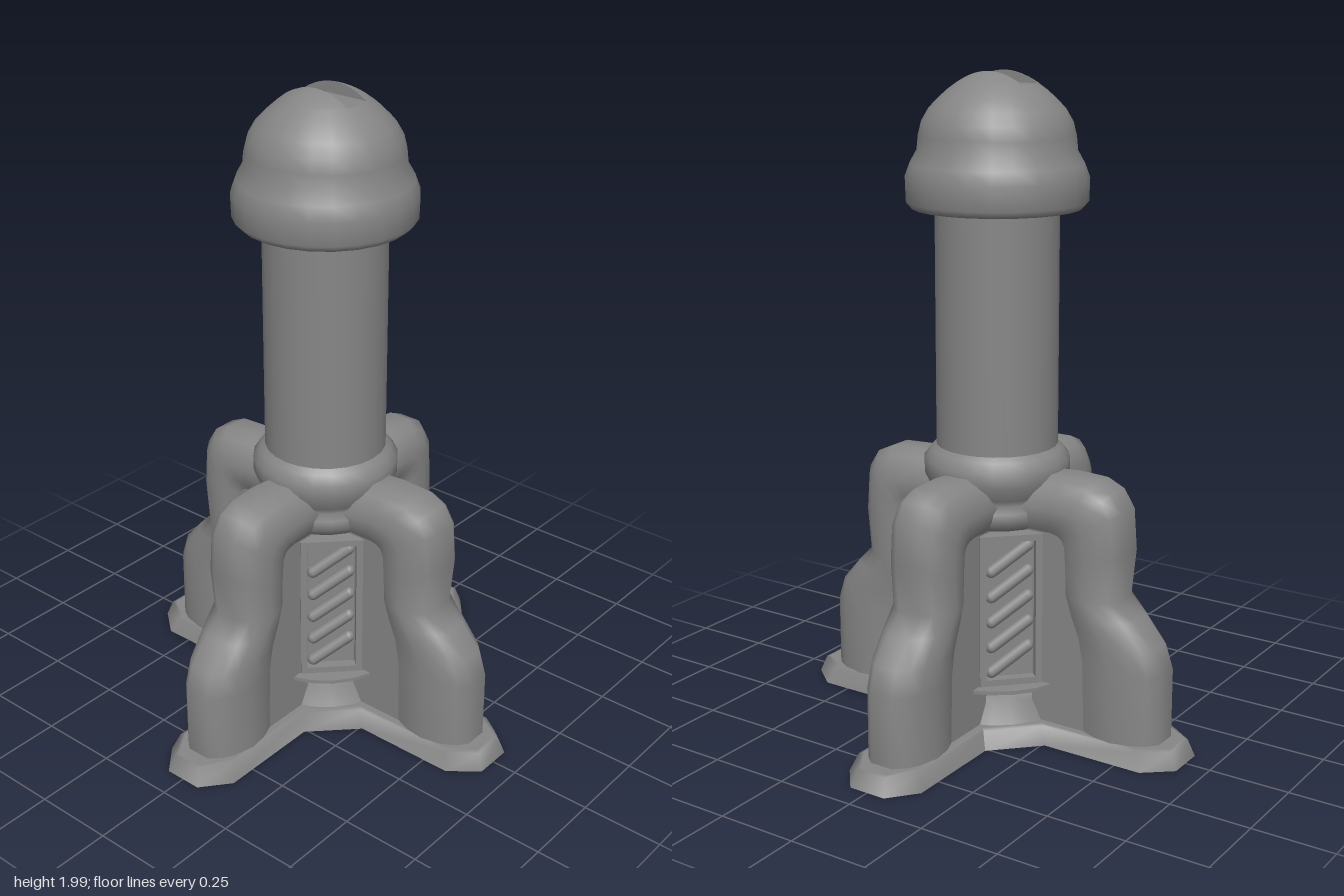
import * as THREE from 'three';
import { ParametricGeometry } from 'three/addons/geometries/ParametricGeometry.js';

const material = new THREE.MeshStandardMaterial({ color: 0x868686, side: THREE.DoubleSide });
const V = (x, y) => new THREE.Vector2(x, y);

function add(parent, name, geometry) {
  const mesh = new THREE.Mesh(geometry, material);
  mesh.name = name;
  parent.add(mesh);
  return mesh;
}

const lathe = (parent, name, profile) =>
  add(parent, name, new THREE.LatheGeometry(profile.map(p => V(...p)), 24));

// Smooth surface through equal-length loops of points
function loft(loops) {
  const n = loops[0].length, index = [];
  for (let i = 0; i < loops.length - 1; i++)
    for (let j = 0; j < n - 1; j++) {
      const a = i * n + j, b = a + n;
      index.push(a, b, a + 1, a + 1, b, b + 1);
    }
  const g = new THREE.BufferGeometry();
  g.setAttribute('position', new THREE.Float32BufferAttribute(loops.flat(2), 3));
  g.setIndex(index);
  g.computeVertexNormals();
  return g;
}

// Leg cross-section: rounded, with a small flat outer face, pinched in at the wall
const HALF = 0.105, WALL = 0.08;
const ARC = [[0, WALL / HALF], [0.2, 0.94], [0.45, 1], [0.72, 0.87], [0.88, 0.66], [1, 0.36]];
const SECTION = [...ARC.map(([c, s]) => [c, -s]), ...ARC.toReversed()];

// Stations along the leg: outer r, outer y, inner r, inner y
const LEG = [
  [0.15, 0.82, 0.15, 0.66], [0.27, 0.83, 0.24, 0.66], [0.37, 0.825, 0.265, 0.655],
  [0.425, 0.8, 0.28, 0.645], [0.46, 0.745, 0.29, 0.625], [0.47, 0.62, 0.295, 0.56],
  [0.455, 0.475, 0.298, 0.475], [0.51, 0.42, 0.315, 0.42], [0.575, 0.345, 0.345, 0.345],
  [0.6, 0.27, 0.358, 0.27], [0.6, 0.05, 0.365, 0.05],
];

function makeLeg() {
  const leg = new THREE.Group();
  const loops = LEG.map(([pr, py, qr, qy]) =>
    SECTION.map(([c, s]) => [qr + (pr - qr) * c, qy + (py - qy) * c, s * HALF]));
  add(leg, 'legPipe', loft(loops));
  // Flat recessed walls joining the pipe to the core
  const wall = new THREE.Shape([V(0.12, 0.05), V(0.12, 0.66), ...LEG.map(s => V(s[2], s[3]))]);
  for (const side of [-1, 1]) {
    const g = new THREE.ShapeGeometry(wall);
    if (side < 0) g.rotateY(Math.PI).scale(-1, 1, 1);
    add(leg, 'legWall', g).position.z = side * WALL;
  }
  return leg;
}

// Outline of the cross-shaped base, pulled in by an inset
function baseOutline(e) {
  const arm = [[0.26 - e, -0.13 + e], [0.585 - e, -0.13 + e], [0.67 - e, -0.06 + e / 2],
    [0.67 - e, 0.06 - e / 2], [0.585 - e, 0.13 - e], [0.26 - e, 0.13 - e]];
  return [0, 1, 2, 3].flatMap(k =>
    arm.map(([x, y]) => V(x, y).rotateAround(V(0, 0), k * Math.PI / 2)));
}

function makeBase() {
  const base = new THREE.Group();
  const ring = (inset, y) => {
    const pts = baseOutline(inset);
    return [...pts, pts[0]].map(p => [p.x, y, p.y]);
  };
  add(base, 'baseSkirt', loft([ring(0.03, 0.055), ring(0.02, 0.052), ring(0, 0)].reverse()));
  // Top plate, open under the hollow legs and in the middle
  const plate = new THREE.Shape(baseOutline(0.03));
  plate.holes.push(new THREE.Path().absarc(0, 0, 0.14, 0, Math.PI * 2, true));
  for (let k = 0; k < 4; k++) {
    const pts = [V(0.22, -0.075), ...SECTION.map(([c, s]) => V(0.365 + 0.23 * c, s * 0.097)), V(0.22, 0.075)];
    plate.holes.push(new THREE.Path(pts.map(p => p.rotateAround(V(0, 0), k * Math.PI / 2))));
  }
  add(base, 'basePlate', new THREE.ShapeGeometry(plate).rotateX(-Math.PI / 2)).position.y = 0.055;
  lathe(base, 'baseSocket', [[0.14, 0.03], [0.14, 0.12]]);
  lathe(base, 'socketRoof', [[0.14, 0.12], [0, 0.12]]);
  return base;
}

// Framed window with slanted ribs, facing +z
function makePanel() {
  const panel = new THREE.Group();
  const rect = (w, y0, y1) => [V(-w, y0), V(w, y0), V(w, y1), V(-w, y1)];
  const frame = new THREE.Shape(rect(0.095, 0.18, 0.655));
  frame.holes.push(new THREE.Path(rect(0.075, 0.2, 0.635)));
  add(panel, 'panelFrame', new THREE.ExtrudeGeometry(frame, { depth: 0.035, bevelEnabled: false }))
    .position.z = 0.181;
  add(panel, 'panelBack', new THREE.BoxGeometry(0.19, 0.475, 0.02)).position.set(0, 0.4175, 0.175);
  for (let i = 0; i < 5; i++) {
    const rib = add(panel, 'panelRib', new THREE.CapsuleGeometry(0.019, 0.135, 4, 8));
    rib.position.set(0, 0.257 + i * 0.08, 0.193);
    rib.rotation.z = -0.95;
  }
  return panel;
}

// Cap with a slot cut across its crown
function makeCap() {
  const cap = new THREE.Group();
  const R = 0.12, W = 0.043, dome = r => 2 - 2.8 * r * r, floor = dome(R);
  const profile = [[0.18, 1.602], [0.252, 1.6], [0.27, 1.62], [0.272, 1.69], [0.257, 1.73],
    [0.236, 1.768], [0.232, 1.81], [0.222, 1.85]];
  for (const r of [0.2, 0.17, 0.145, R]) profile.push([r, dome(r)]);
  lathe(cap, 'capDome', profile);
  add(cap, 'slotFloor', new THREE.CircleGeometry(R, 24).rotateX(-Math.PI / 2)).position.y = floor;
  for (const side of [-1, 1]) {
    add(cap, 'crown', new ParametricGeometry((u, v, t) => {
      const x = W + (R - W) * Math.sin(u * Math.PI / 2);
      const z = side * Math.sqrt(Math.max(0, R * R - x * x)) * (1 - 2 * v);
      t.set(side * x, dome(Math.hypot(x, z)), z);
    }, 8, 12));
    add(cap, 'slotWall', new ParametricGeometry((u, v, t) => {
      const z = side * Math.sqrt(R * R - W * W) * (1 - 2 * v);
      t.set(side * W, floor + (dome(Math.hypot(W, z)) - floor) * u, z);
    }, 1, 12));
  }
  return cap;
}

export function createModel() {
  const model = new THREE.Group();
  const put = (name, part, angle = 0) => {
    part.name = name;
    part.rotation.y = angle;
    model.add(part);
  };
  put('base', makeBase());
  put('cap', makeCap());
  lathe(model, 'column', [[0.185, 0.86], [0.185, 1.61]]);
  lathe(model, 'collar', [[0.1, 0.655], [0.18, 0.657], [0.202, 0.685], [0.202, 0.715], [0.188, 0.735],
    [0.2, 0.755], [0.222, 0.8], [0.222, 0.845], [0.202, 0.872], [0.184, 0.888]]);
  // Core, rim disc and flared foot
  lathe(model, 'core', [[0.165, 0.17], [0.165, 0.66]]);
  add(model, 'rimDisc', new THREE.CylinderGeometry(0.262, 0.262, 0.012, 24)).position.y = 0.174;
  lathe(model, 'coreFoot', [[0.23, 0.055], [0.2, 0.115], [0.2, 0.135], [0.15, 0.14], [0.15, 0.17]]);
  for (let k = 0; k < 4; k++) {
    put('leg', makeLeg(), k * Math.PI / 2);
    put('ribbedPanel', makePanel(), (k + 0.5) * Math.PI / 2);
  }
  return model;
}
